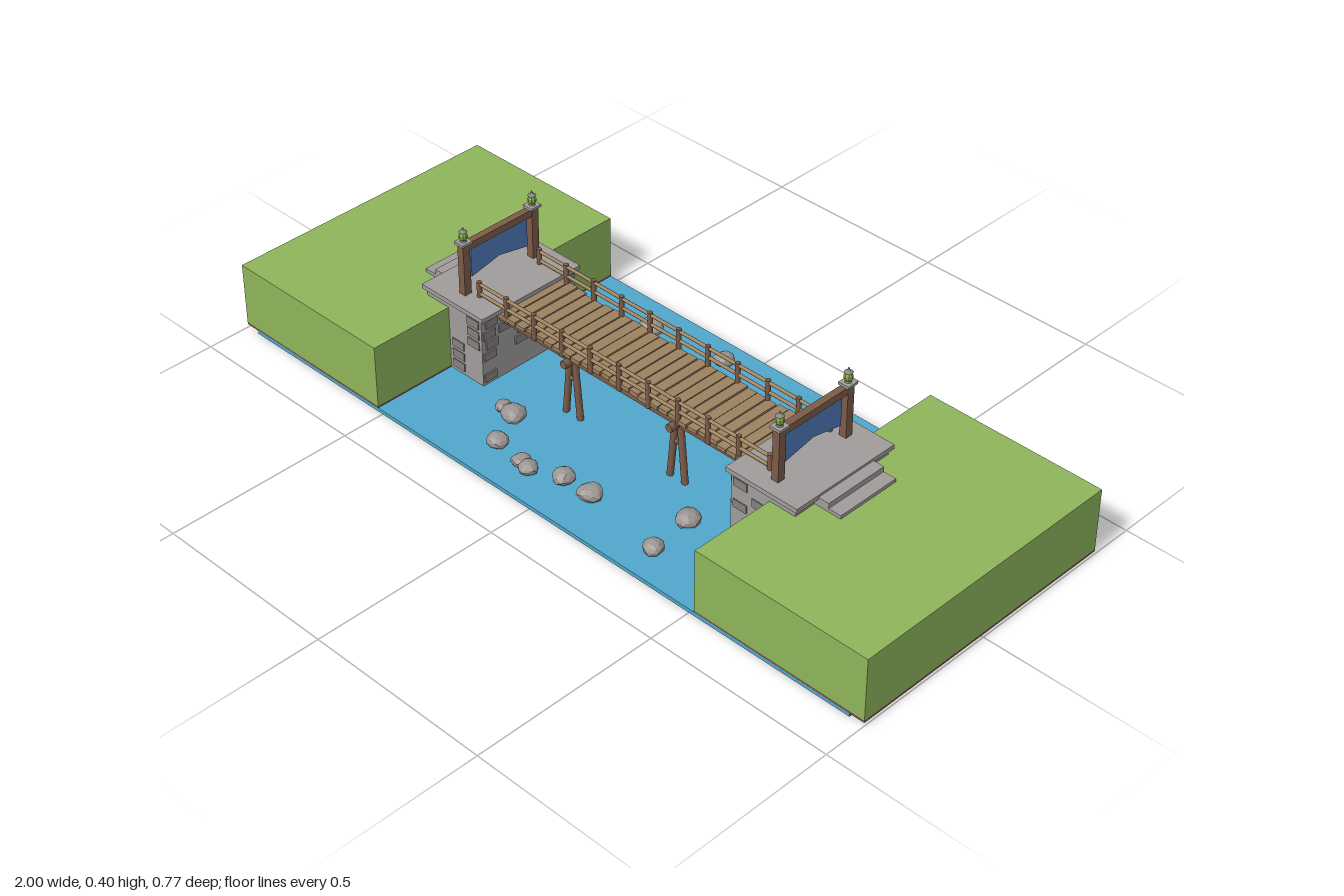
import * as THREE from 'three';

const mat = (name, color, side = THREE.FrontSide) => {
  const m = new THREE.MeshStandardMaterial({ color, side });
  m.name = name;
  return m;
};

export function createModel() {
  const root = new THREE.Group();
  root.name = 'riverBridge';
  const grass = mat('grass green', 0x8eb55b);
  const water = mat('water blue', 0x50a7cc);
  const dirt = mat('dirt brown', 0x74503f);
  const stone = mat('light stone', 0xa09c9b);
  const darkStone = mat('dark stone', 0x86827f);
  const wood = mat('dark wood', 0x7c5c48);
  const plankWood = mat('plank wood', 0x9c8260);
  const cloth = mat('blue cloth', 0x5078b8, THREE.DoubleSide);
  const leaf = mat('lantern green', 0x76a23f);
  const rockGrey = mat('rock grey', 0x9b9592);
  rockGrey.flatShading = leaf.flatShading = true;

  let seed = 7;
  const rand = () => (seed = (seed * 16807) % 2147483647) / 2147483647;

  const add = (parent, name, geo, m, x = 0, y = 0, z = 0) => {
    const mesh = new THREE.Mesh(geo, m);
    mesh.name = name;
    mesh.position.set(x, y, z);
    parent.add(mesh);
    return mesh;
  };
  // Box given by its minimum and maximum on each axis
  const box = (parent, name, m, x0, x1, y0, y1, z0, z1) =>
    add(parent, name, new THREE.BoxGeometry(x1 - x0, y1 - y0, z1 - z0), m,
      (x0 + x1) / 2, (y0 + y1) / 2, (z0 + z1) / 2);
  // Round pole between two points
  const pole = (parent, name, m, a, b, r) => {
    const p = new THREE.Vector3(...a), q = new THREE.Vector3(...b);
    const d = q.clone().sub(p);
    const mesh = add(parent, name, new THREE.CylinderGeometry(r, r, d.length(), 8), m);
    mesh.position.copy(p).add(q).multiplyScalar(0.5);
    mesh.quaternion.setFromUnitVectors(new THREE.Vector3(0, 1, 0), d.normalize());
    return mesh;
  };

  // River
  box(root, 'river', water, -0.96, 0.96, 0.008, 0.0185, -0.384, 0.384);

  // Bank, abutment and gate, turned half round for the other shore
  for (const turn of [0, Math.PI]) {
    const shore = new THREE.Group();
    shore.name = turn ? 'rightShore' : 'leftShore';
    shore.rotation.y = turn;
    root.add(shore);

    box(shore, 'bankSoil', dirt, 0.515, 1, 0.017, 0.023, -0.384, 0.384);
    box(shore, 'bank', grass, 0.515, 1, 0.023, 0.191, -0.384, 0.384);

    // Stone abutment, cap and steps
    box(shore, 'abutment', stone, 0.402, 0.59, 0.018, 0.208, -0.152, 0.152);
    box(shore, 'abutmentCap', stone, 0.39, 0.6, 0.208, 0.22, -0.159, 0.159);
    box(shore, 'upperStep', stone, 0.59, 0.63, 0.185, 0.214, -0.09, 0.09);
    box(shore, 'lowerStep', stone, 0.59, 0.665, 0.185, 0.2, -0.09, 0.09);

    // Scattered bricks standing slightly proud of the walls
    for (let row = 0; row < 6; row++) {
      const y = 0.028 + row * 0.03;
      for (let i = 0; i < 6; i++) {
        if (rand() < 0.5) continue;
        const z = -0.148 + i * 0.05 + (row % 2) * 0.008;
        box(shore, 'brick', darkStone, 0.398, 0.404, y, y + 0.022, z, Math.min(z + 0.038, 0.15));
      }
      for (const s of [-1, 1]) {
        const x = 0.41 + (rand() < 0.5 ? 0 : 0.055);
        box(shore, 'brick', darkStone, x, x + 0.04, y, y + 0.022, s * 0.1525 - 0.002, s * 0.1525 + 0.002);
      }
    }

    // Gate posts with lanterns
    for (const s of [-1, 1]) {
      const z = s * 0.11;
      box(shore, 'gatePost', wood, 0.49, 0.51, 0.22, 0.36, z - 0.0105, z + 0.0105);
      box(shore, 'postCap', stone, 0.485, 0.515, 0.359, 0.366, z - 0.016, z + 0.016);
      add(shore, 'lanternBase', new THREE.CylinderGeometry(0.006, 0.009, 0.006, 8), darkStone, 0.5, 0.368, z);
      add(shore, 'lantern', new THREE.SphereGeometry(0.0115, 8, 5), leaf, 0.5, 0.38, z).scale.y = 1.1;
      add(shore, 'lanternRoof', new THREE.CylinderGeometry(0.003, 0.011, 0.006, 8), darkStone, 0.5, 0.395, z);
      add(shore, 'lanternTip', new THREE.ConeGeometry(0.005, 0.01, 6), darkStone, 0.5, 0.401, z);
    }
    box(shore, 'gateBeam', wood, 0.491, 0.509, 0.34, 0.359, -0.12, 0.12);

    // Hanging banner with a notched lower edge
    const flag = new THREE.Shape([[-0.09, 0.34], [-0.09, 0.257], [0, 0.275], [0.09, 0.257], [0.09, 0.34]]
      .map(([u, v]) => new THREE.Vector2(u, v)));
    const banner = add(shore, 'banner',
      new THREE.ExtrudeGeometry(flag, { depth: 0.004, bevelEnabled: false }), cloth, 0.498);
    banner.rotation.y = Math.PI / 2;
  }

  // Deck planks
  const deck = new THREE.Group();
  deck.name = 'deck';
  root.add(deck);
  const planks = 26, pitch = 0.8 / planks;
  for (let i = 0; i < planks; i++) {
    const x = -0.4 + i * pitch, half = 0.096 + rand() * 0.008, top = 0.206 + rand() * 0.003;
    box(deck, 'plank', plankWood, x + 0.0015, x + pitch - 0.0015, 0.197, top, -half, half);
  }
  for (const z of [-0.085, 0, 0.085])
    box(deck, 'girder', wood, -0.402, 0.402, 0.182, 0.198, z - 0.009, z + 0.009);

  // Railings
  for (const s of [-1, 1]) {
    const z = s * 0.097;
    for (let i = 0; i < 11; i++) {
      const x = -0.465 + i * 0.093;
      pole(root, 'railPost', wood, [x, 0.19, z], [x, 0.262, z], 0.0065);
    }
    for (const y of [0.229, 0.255])
      pole(root, 'rail', plankWood, [-0.47, y, z], [0.47, y, z], 0.0045);
  }

  // Trestles: splayed legs under a cross beam
  for (const x of [-0.17, 0.17]) {
    const trestle = new THREE.Group();
    trestle.name = 'trestle';
    trestle.position.x = x;
    root.add(trestle);
    pole(trestle, 'crossBeam', wood, [0, 0.178, -0.11], [0, 0.178, 0.11], 0.011);
    for (const z of [-0.08, 0.08]) {
      for (const s of [-1, 1])
        pole(trestle, 'leg', wood, [s * 0.024, 0.014, z], [s * 0.008, 0.18, z], 0.0085);
      pole(trestle, 'brace', wood, [-0.018, 0.125, z], [0.018, 0.125, z], 0.006);
    }
  }

  // River rocks: x, z, radius
  const rocks = [[-0.28, -0.29, 0.032], [-0.06, -0.315, 0.027], [-0.265, -0.165, 0.025],
    [-0.02, -0.19, 0.03], [0.02, -0.187, 0.026], [-0.3, 0.183, 0.021], [-0.263, 0.185, 0.032],
    [-0.215, 0.28, 0.028], [-0.12, 0.295, 0.024], [-0.09, 0.3, 0.025], [-0.01, 0.265, 0.029],
    [0.075, 0.265, 0.031], [0.295, 0.175, 0.031], [0.31, 0.3, 0.027]];
  rocks.forEach(([x, z, r], i) => {
    const geo = new THREE.IcosahedronGeometry(r, 1), p = geo.attributes.position;
    for (let k = 0; k < p.count; k++) {
      // Same bump for coincident corners, so the surface stays closed
      const u = p.getX(k) / r, v = p.getY(k) / r, w = p.getZ(k) / r;
      const f = 0.97 + 0.09 * Math.sin(3 * u + 2 * v + i) * Math.cos(3 * w - i);
      p.setXYZ(k, u * r * f * 1.05, v * r * f * 0.68, w * r * f);
    }
    geo.computeVertexNormals();
    add(root, 'rock', geo, rockGrey, x, 0.031, z).rotation.y = i * 0.9;
  });

  return root;
}
